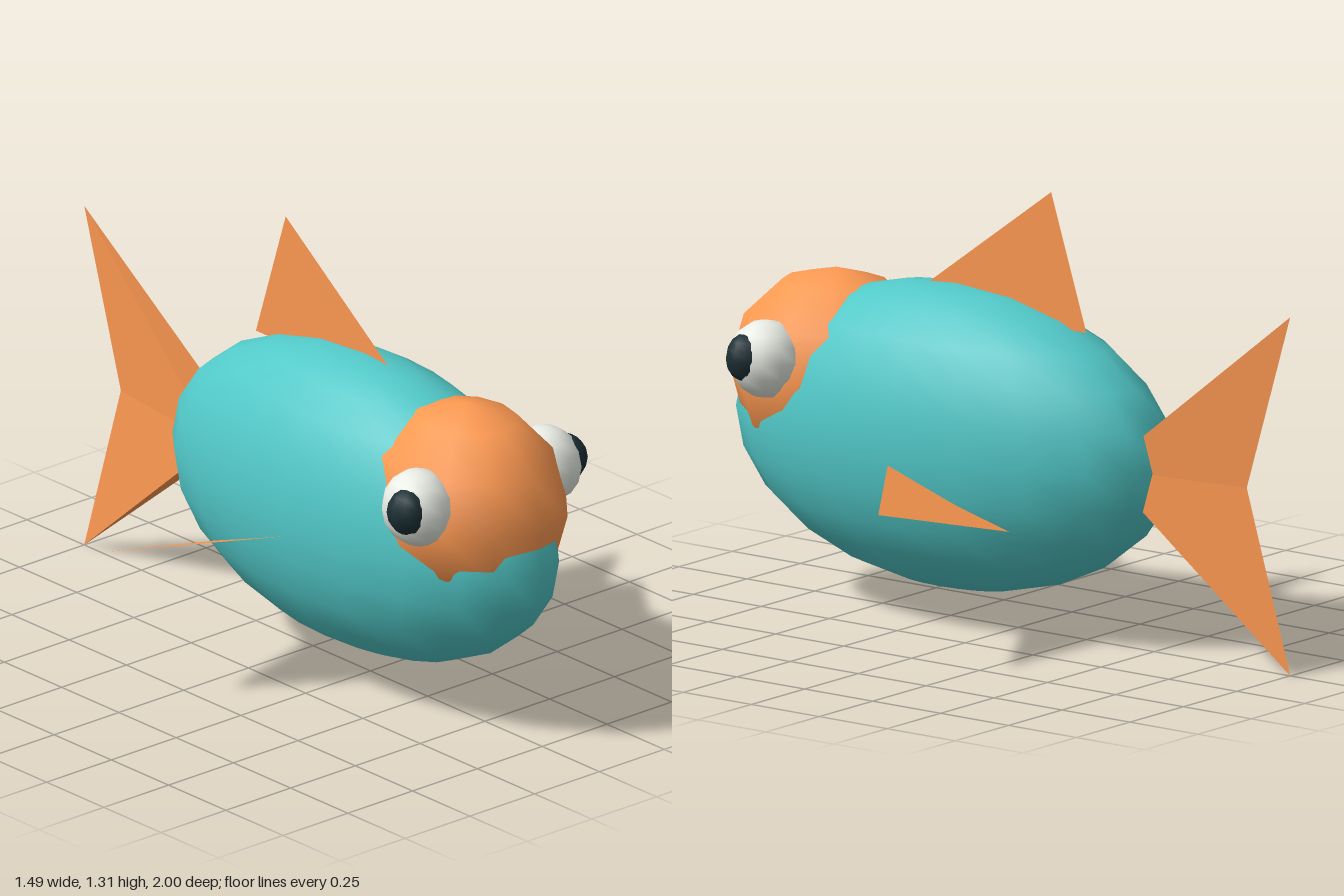
import * as THREE from 'three';

const paint = (color, extra = {}) => new THREE.MeshStandardMaterial({ color, ...extra });
const teal = paint(0x52c8c8);
const orange = paint(0xff9a52);
const finOrange = paint(0xff9a52, { side: THREE.DoubleSide, flatShading: true });
const white = paint(0xe8ece4);
const dark = paint(0x1c3036);

// Smooth ellipsoid with given radii
function ellipsoid(name, material, radii, position, across, down) {
  const geometry = new THREE.SphereGeometry(1, across, down).scale(...radii);
  const mesh = new THREE.Mesh(geometry, material);
  mesh.name = name;
  mesh.position.set(...position);
  return mesh;
}

// Flat-faced fin from corner points and triangles
function fin(name, points, faces) {
  const geometry = new THREE.BufferGeometry();
  geometry.setAttribute('position', new THREE.Float32BufferAttribute(faces.flat().flatMap(i => points[i]), 3));
  geometry.computeVertexNormals();
  const mesh = new THREE.Mesh(geometry, finOrange);
  mesh.name = name;
  return mesh;
}

export function createModel() {
  const fish = new THREE.Group();
  fish.name = 'fish';

  // Body and the head cap that breaks through it
  fish.add(ellipsoid('body', teal, [0.32, 0.45, 0.77], [0, 0.54, 0.23], 20, 12));
  fish.add(ellipsoid('head', orange, [0.275, 0.305, 0.33], [0, 0.67, 0.67], 12, 6));

  // Dorsal fin, a single thin sheet
  fish.add(fin('dorsalFin', [[0, 0.91, 0.425], [0, 1.31, -0.12], [0, 0.91, -0.25]], [[0, 1, 2]]));

  // Tail: two three-sided spikes sharing a base at mid height
  for (const [name, tipY] of [['upperTailFin', 1.065], ['lowerTailFin', 0]]) {
    const corners = [[0, tipY, -1], [0, 0.535, -0.84], [0.061, 0.535, -0.36], [-0.061, 0.535, -0.36]];
    const faces = [[0, 2, 1], [0, 1, 3], [0, 3, 2], [1, 2, 3]];
    if (tipY < 0.5) faces.forEach(face => face.reverse());
    fish.add(fin(name, corners, faces));
  }

  // Paired side fins and eyes
  for (const [side, s] of [['left', 1], ['right', -1]]) {
    const corners = [[0.745 * s, 0.48, -0.07], [0.15 * s, 0.515, 0.35], [0.094 * s, 0.312, -0.175]];
    fish.add(fin(side + 'Fin', corners, [s > 0 ? [0, 2, 1] : [0, 1, 2]]));
    fish.add(ellipsoid(side + 'Eye', white, [0.105, 0.115, 0.113], [0.245 * s, 0.737, 0.737], 12, 8));
    fish.add(ellipsoid(side + 'Pupil', dark, [0.067, 0.073, 0.066], [0.3 * s, 0.747, 0.76], 10, 8));
  }
  return fish;
}
